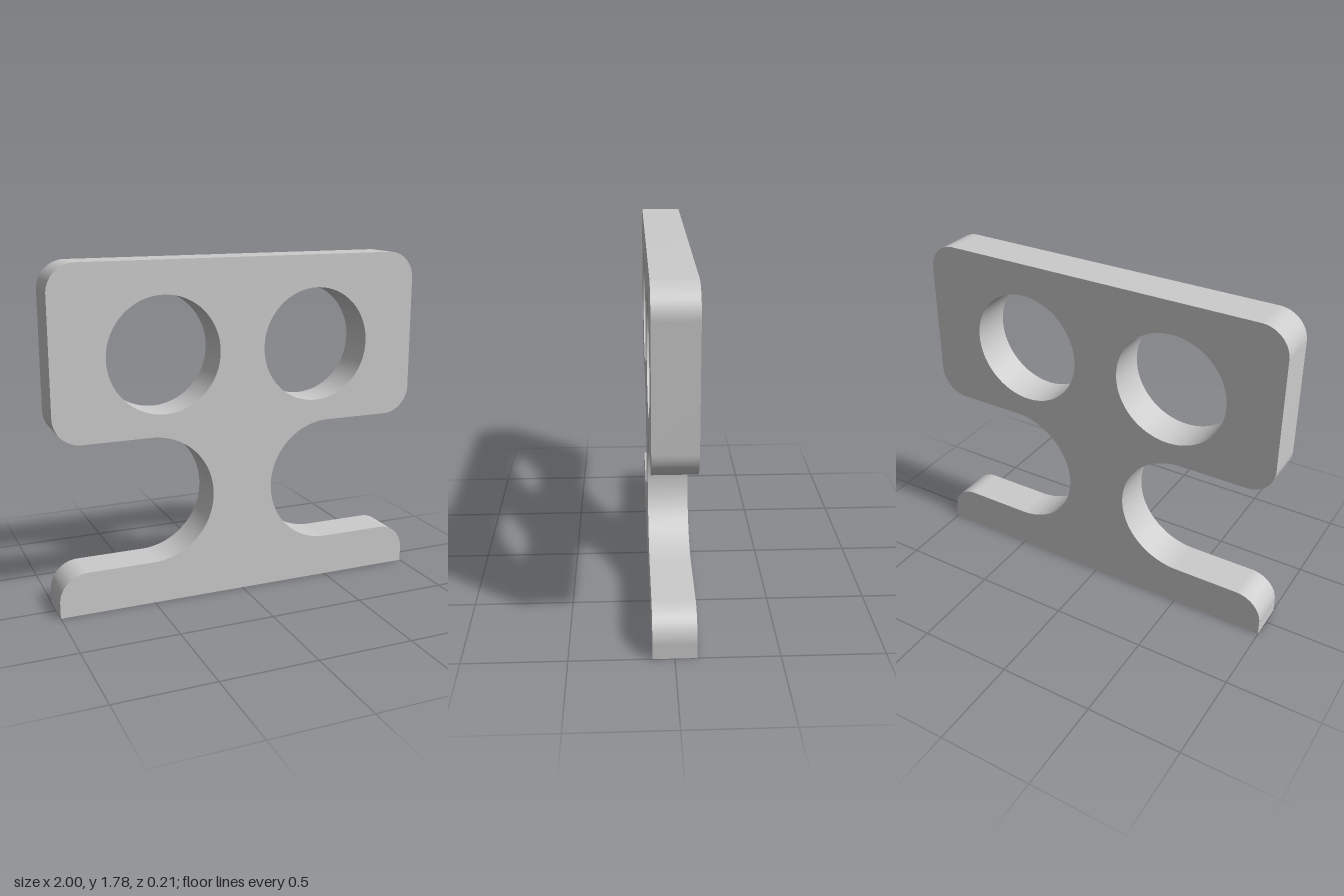
import * as THREE from 'three';
import { toCreasedNormals } from 'three/addons/utils/BufferGeometryUtils.js';

const HEIGHT = 1.78, DEPTH = 0.21;
const FOOT_TOP = 0.225, HEAD_BOTTOM = 0.895;
const CORNER = 0.145;
const NECK_R = (HEAD_BOTTOM - FOOT_TOP) / 2, NECK_X = 0.5;
const HOLE_R = 0.3, HOLE_X = 0.422, HOLE_Y = 1.31;

export function createModel() {
  const group = new THREE.Group();
  const q = Math.PI / 2;
  const cx = 1 - CORNER;
  const neckY = (FOOT_TOP + HEAD_BOTTOM) / 2;

  // Outline, counter-clockwise: foot, neck and head in one plate
  const plate = new THREE.Shape();
  const corner = (x, y, quarter) => plate.absarc(x, y, CORNER, quarter * q, (quarter + 1) * q, false);
  plate.moveTo(-1, 0);
  plate.lineTo(1, 0);
  corner(cx, FOOT_TOP - CORNER, 0);
  plate.absarc(NECK_X, neckY, NECK_R, 3 * q, q, true);
  corner(cx, HEAD_BOTTOM + CORNER, 3);
  corner(cx, HEIGHT - CORNER, 0);
  corner(-cx, HEIGHT - CORNER, 1);
  corner(-cx, HEAD_BOTTOM + CORNER, 2);
  plate.absarc(-NECK_X, neckY, NECK_R, q, -q, true);
  corner(-cx, FOOT_TOP - CORNER, 1);
  plate.closePath();

  // Two round openings in the head
  for (const side of [-1, 1]) {
    const hole = new THREE.Path();
    hole.absarc(side * HOLE_X, HOLE_Y, HOLE_R, 0, 2 * Math.PI, true);
    plate.holes.push(hole);
  }

  const extruded = new THREE.ExtrudeGeometry(plate, { depth: DEPTH, bevelEnabled: false, curveSegments: 32 });
  extruded.translate(0, 0, -DEPTH / 2);

  const mesh = new THREE.Mesh(
    toCreasedNormals(extruded, Math.PI / 6),
    new THREE.MeshStandardMaterial({ color: 0xcccccc })
  );
  mesh.name = 'plate';
  group.add(mesh);
  return group;
}
